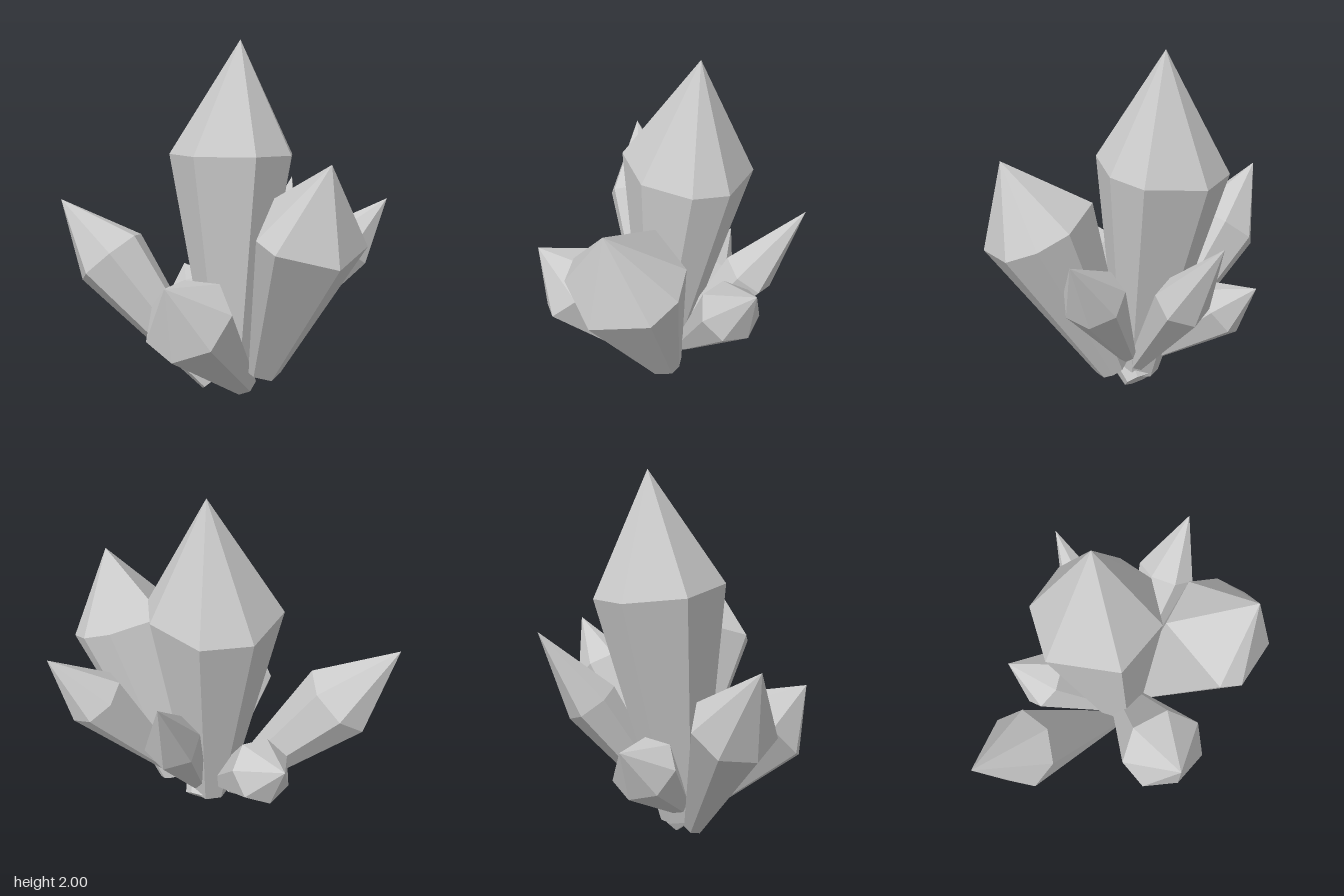
import * as THREE from 'three';

const material = new THREE.MeshStandardMaterial({ color: 0xcccccc, flatShading: true });

// Evenly spaced ring angles in degrees, starting at a phase
const even = (n, phase) => Array.from({ length: n }, (_, i) => phase + (i * 360) / n);

// Each crystal flares from a small base ring to a shoulder ring, then closes to a point
const crystals = [
  { name: 'mainCrystal', base: [0, 0.1, -0.05], baseR: 0.12, shoulder: [0.04, 1.37, -0.19], r: 0.355,
    tip: [0.1, 2, -0.21], angles: [-97, -52, 3, 37, 83, 139, 207] },
  { name: 'frontLeftCrystal', base: [0.16, 0.18, 0.06], baseR: 0.1, shoulder: [0.28, 1.05, 0.43], r: 0.32,
    tip: [0.34, 1.43, 0.6], angles: [-107, -50, -16, 18, 77, 139, 164] },
  { name: 'frontRightCrystal', base: [0.08, 0.06, -0.07], baseR: 0.08, shoulder: [-0.33, 0.6, 0.32], r: 0.25,
    tip: [-0.48, 0.82, 0.46], angles: even(7, 20) },
  { name: 'backRightCrystal', base: [-0.11, 0.08, -0.08], baseR: 0.06, shoulder: [-0.61, 0.77, -0.42], r: 0.22,
    tip: [-0.87, 1.09, -0.57], angles: even(7, 0) },
  { name: 'leftCrystal', base: [0.22, 0.31, -0.04], baseR: 0.05, shoulder: [0.64, 0.86, 0.03], r: 0.165,
    tip: [0.87, 1.13, 0.08], angles: even(7, 0) },
  { name: 'backLeftCrystal', base: [0.09, 0.18, -0.07], baseR: 0.05, shoulder: [0.37, 0.75, -0.37], r: 0.15,
    tip: [0.54, 1.15, -0.6], angles: even(6, 10) },
  { name: 'backCrystal', base: [-0.03, 0.17, -0.09], baseR: 0.05, shoulder: [-0.1, 0.49, -0.49], r: 0.18,
    tip: [-0.12, 0.62, -0.7], angles: even(7, 15) },
];

function crystalGeometry({ base, baseR, shoulder, r, tip, angles }) {
  const b = new THREE.Vector3(...base);
  const s = new THREE.Vector3(...shoulder);
  const t = new THREE.Vector3(...tip);
  // Ring plane square to the shaft, with u near +x and w near +z
  const axis = s.clone().sub(b).normalize();
  const u = new THREE.Vector3(1, 0, 0).addScaledVector(axis, -axis.x).normalize();
  const w = new THREE.Vector3().crossVectors(u, axis);
  const ring = (center, radius) => angles.map((deg) => {
    const a = THREE.MathUtils.degToRad(deg);
    return center.clone()
      .addScaledVector(u, radius * Math.cos(a))
      .addScaledVector(w, radius * Math.sin(a));
  });
  const low = ring(b, baseR);
  const high = ring(s, r);

  const points = [];
  for (let i = 0; i < angles.length; i++) {
    const j = (i + 1) % angles.length;
    points.push(low[i], high[i], low[j], low[j], high[i], high[j]); // shaft
    points.push(high[i], t, high[j]); // point
    points.push(b, low[i], low[j]); // base cap
  }
  const geometry = new THREE.BufferGeometry().setFromPoints(points);
  geometry.computeVertexNormals();
  return geometry;
}

export function createModel() {
  const group = new THREE.Group();
  group.name = 'crystalCluster';
  for (const crystal of crystals) {
    const mesh = new THREE.Mesh(crystalGeometry(crystal), material);
    mesh.name = crystal.name;
    group.add(mesh);
  }
  return group;
}
